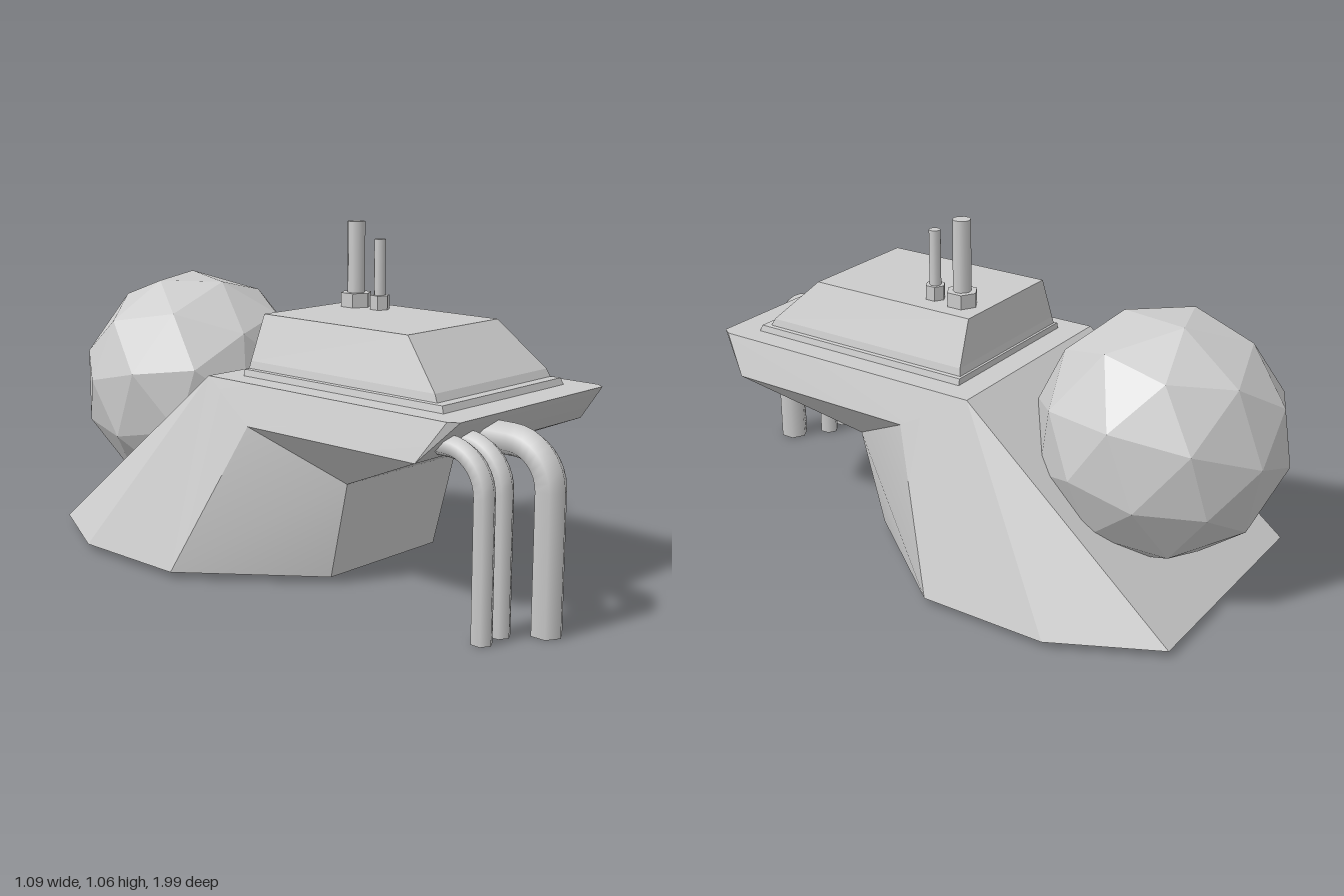
import * as THREE from 'three';
import { toCreasedNormals } from 'three/addons/utils/BufferGeometryUtils.js';

const grey = new THREE.MeshStandardMaterial({ color: 0xcccccc });
const greyOpen = new THREE.MeshStandardMaterial({ color: 0xcccccc, side: THREE.DoubleSide });
const greyFlat = new THREE.MeshStandardMaterial({ color: 0xcccccc, flatShading: true });

function add(group, name, geometry, material = grey) {
  const mesh = new THREE.Mesh(geometry, material);
  mesh.name = name;
  group.add(mesh);
  return mesh;
}

function fromTriangles(points) {
  const g = new THREE.BufferGeometry();
  g.setAttribute('position', new THREE.Float32BufferAttribute(points.flat(), 3));
  g.computeVertexNormals();
  return g;
}

// Open-bottomed hull: corners of the +x half, mirrored
function hullGeometry() {
  const P = {
    A: [0.335, 0.605, 0.8], T: [0.355, 0.605, 0.77], B: [0.355, 0.605, -0.17],
    C: [0.39, 0.485, 0.69], D: [0.395, 0.485, 0.045],
    E: [0.25, 0.33, 0.315], F: [0.24, 0.025, 0.24],
    G: [0.545, 0.025, -0.145], H: [0.545, 0.025, -0.555], I: [0.385, 0.025, -0.875],
  };
  const flip = ([x, y, z]) => [-x, y, z];
  const tris = [];
  // centre strip: back slope, deck, front lip, underside, foot
  const chain = [...'IBTACEF'].map(k => P[k]);
  for (let i = 0; i + 1 < chain.length; i++) {
    const [p, q] = [chain[i], chain[i + 1]];
    tris.push(flip(p), flip(q), q, flip(p), q, p);
  }
  // side facets
  for (const f of ['ACT', 'TCD', 'TDB', 'BDG', 'BGH', 'BHI', 'CED', 'EFG', 'EGD']) {
    const [a, b, c] = [...f].map(k => P[k]);
    tris.push(a, b, c, flip(a), flip(c), flip(b));
  }
  return toCreasedNormals(fromTriangles(tris), 0.45);
}

// Cabin: stacked rectangles [y, half width, front z, back z]
function cabinGeometry() {
  const rings = [
    [0.6, 0.283, 0.7, -0.09], [0.625, 0.277, 0.69, -0.09],
    [0.627, 0.265, 0.662, -0.084], [0.65, 0.26, 0.65, -0.08], [0.79, 0.207, 0.505, -0.075],
  ].map(([y, w, f, b]) => [[-w, y, f], [w, y, f], [w, y, b], [-w, y, b]]);
  const tris = [];
  for (let r = 0; r + 1 < rings.length; r++) {
    for (let i = 0; i < 4; i++) {
      const j = (i + 1) % 4, lo = rings[r], hi = rings[r + 1];
      tris.push(lo[i], lo[j], hi[j], lo[i], hi[j], hi[i]);
    }
  }
  const t = rings[rings.length - 1], b = rings[0];
  tris.push(t[0], t[1], t[2], t[0], t[2], t[3], b[0], b[2], b[1], b[0], b[3], b[2]);
  return fromTriangles(tris);
}

// Six-sided pipe leaving the front lip and bending down to the ground
function pipeGeometry(x, z, radius) {
  const y = 0.53, bend = 0.12, v = (py, pz) => new THREE.Vector3(x, py, pz);
  const path = new THREE.CurvePath();
  path.add(new THREE.LineCurve3(v(y, 0.66), v(y, z - bend)));
  path.add(new THREE.CubicBezierCurve3(
    v(y, z - bend), v(y, z - bend * 0.45), v(y - bend * 0.45, z), v(y - bend, z)));
  path.add(new THREE.LineCurve3(v(y - bend, z), v(0.003, z)));
  return new THREE.TubeGeometry(path, 32, radius, 6);
}

export function createModel() {
  const model = new THREE.Group();
  model.name = 'bunker';

  add(model, 'hull', hullGeometry(), greyOpen);
  add(model, 'cabin', cabinGeometry());

  // faceted dome ball resting on the back slope
  const ball = add(model, 'ball', new THREE.IcosahedronGeometry(0.385, 1), greyFlat);
  ball.position.set(-0.01, 0.48, -0.622);
  ball.rotation.set(-0.17, 0.3, -0.17);

  // front pipes
  const pipes = new THREE.Group();
  pipes.name = 'pipes';
  for (const [x, z, r] of [[-0.31, 0.865, 0.032], [-0.23, 0.865, 0.032], [-0.135, 0.953, 0.047]]) {
    add(pipes, 'pipe', pipeGeometry(x, z, r), greyOpen);
  }
  model.add(pipes);

  // two masts with hexagonal sockets on the roof
  for (const [z, rBase, rRod, top] of [[0.012, 0.05, 0.028, 1.06], [0.112, 0.032, 0.018, 1.01]]) {
    const mast = new THREE.Group();
    mast.name = 'mast';
    mast.position.set(0.115, 0.785, z);
    add(mast, 'socket', new THREE.CylinderGeometry(rBase, rBase, 0.05, 6), greyFlat).position.y = 0.025;
    const h = top - 0.785;
    add(mast, 'rod', new THREE.CylinderGeometry(rRod, rRod, h, 10)).position.y = h / 2;
    model.add(mast);
  }
  return model;
}
